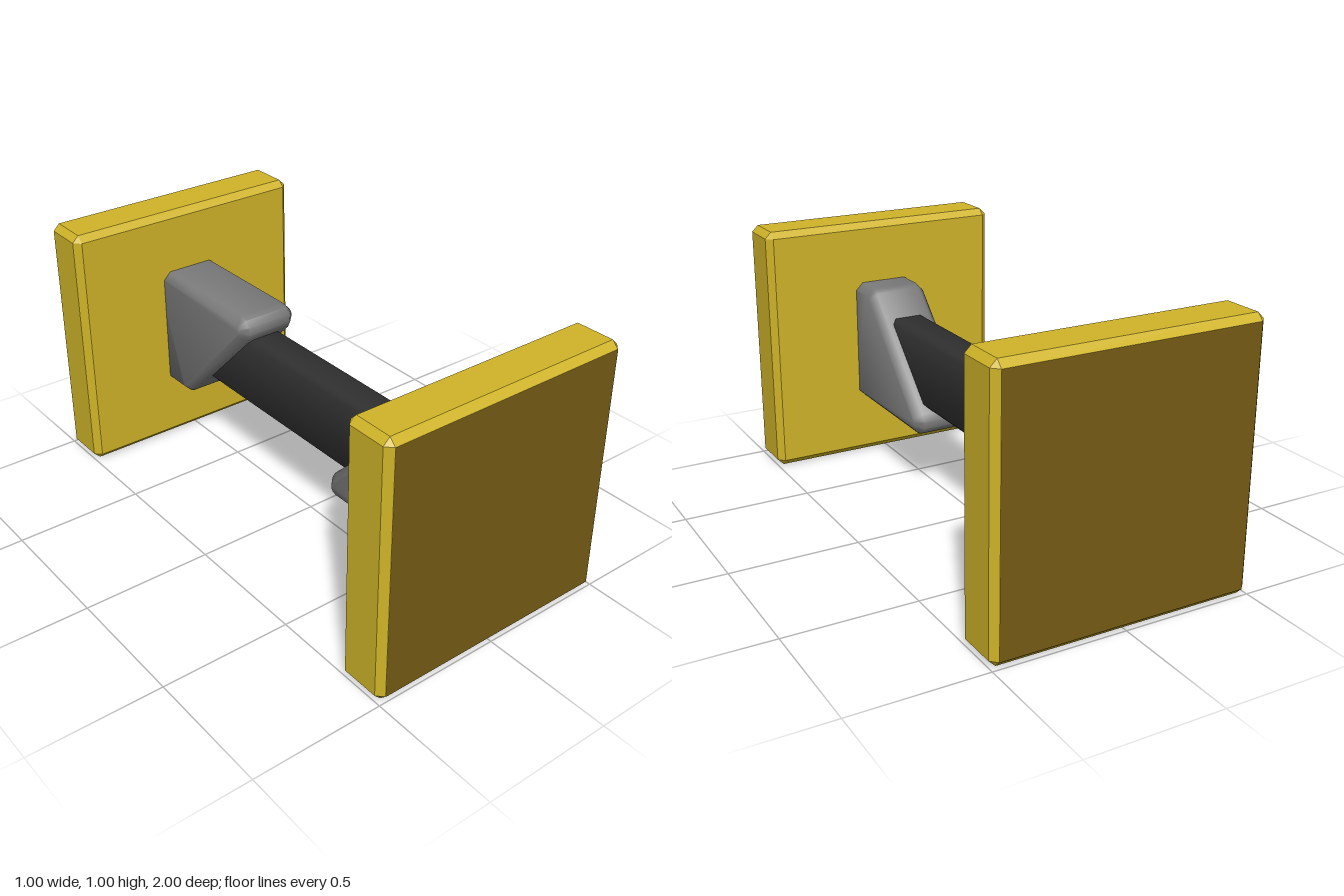
import * as THREE from 'three';
import { toCreasedNormals } from 'three/addons/utils/BufferGeometryUtils.js';
import { ConvexGeometry } from 'three/addons/geometries/ConvexGeometry.js';

const yellow = new THREE.MeshStandardMaterial({ color: 0xd0b428, flatShading: true });
const brown = new THREE.MeshStandardMaterial({ color: 0x765c14 });
const grey = new THREE.MeshStandardMaterial({ color: 0x7a7a7a });
const dark = new THREE.MeshStandardMaterial({ color: 0x303030 });

const CREASE = 0.9; // smooths over 45 degree chamfers, keeps square corners sharp

// Box with every edge cut by a flat chamfer, corners ending in triangles
function chamferedBox(w, h, d, c) {
  const points = [];
  for (const x of [-1, 1]) for (const y of [-1, 1]) for (const z of [-1, 1]) {
    for (let axis = 0; axis < 3; axis++) {
      const p = [w / 2, h / 2, d / 2].map((half, i) => (i === axis ? half : half - c));
      points.push(new THREE.Vector3(p[0] * x, p[1] * y, p[2] * z));
    }
  }
  return new ConvexGeometry(points);
}

// Slanted bracket: profile in z (across) and y (up), measured from the bar's axis
function bracketGeometry() {
  const width = 0.25, bevel = 0.03, r = 0.053;
  const shape = new THREE.Shape();
  shape.absarc(0.697, 0.25 - r, r, Math.PI / 2, Math.PI * 0.75, false);
  shape.absarc(0.303, -0.25 + r, r, Math.PI * 0.75, Math.PI * 1.5, false);
  shape.lineTo(0.88, -0.25);
  shape.lineTo(0.88, 0.25);
  shape.closePath();
  const geo = new THREE.ExtrudeGeometry(shape, {
    depth: width - 2 * bevel, curveSegments: 2,
    bevelSize: bevel, bevelThickness: bevel, bevelOffset: -bevel, bevelSegments: 1,
  });
  geo.translate(0, 0, -(width / 2 - bevel));
  geo.rotateY(-Math.PI / 2);
  return toCreasedNormals(geo, CREASE);
}

// Connecting bar: rectangle with chamfered long edges, run along z
function barGeometry() {
  const w = 0.074, h = 0.147, c = 0.018, length = 1.3;
  const outline = [
    [w, c - h], [w, h - c], [w - c, h], [c - w, h],
    [-w, h - c], [-w, c - h], [c - w, -h], [w - c, -h],
  ].map(([x, y]) => new THREE.Vector2(x, y));
  const geo = new THREE.ExtrudeGeometry(new THREE.Shape(outline), { depth: length, bevelEnabled: false });
  geo.translate(0, 0, -length / 2);
  return toCreasedNormals(geo, CREASE);
}

export function createModel() {
  const model = new THREE.Group();
  model.name = 'connector';
  const plateGeo = chamferedBox(1, 1, 0.2, 0.025);
  const faceGeo = new THREE.PlaneGeometry(0.95, 0.95);
  const bracketGeo = bracketGeometry();

  // The back end is the front end turned half a turn about the x axis
  for (const [name, turn] of [['front', 0], ['back', Math.PI]]) {
    const end = new THREE.Group();
    end.name = name + 'End';
    end.position.y = 0.5;
    end.rotation.x = turn;

    const plate = new THREE.Mesh(plateGeo, yellow);
    plate.name = name + 'Plate';
    plate.position.z = 0.9;

    // Darker outer face of the plate
    const face = new THREE.Mesh(faceGeo, brown);
    face.name = name + 'PlateFace';
    face.position.z = 1.001;

    const bracket = new THREE.Mesh(bracketGeo, grey);
    bracket.name = name + 'Bracket';

    end.add(plate, face, bracket);
    model.add(end);
  }

  const bar = new THREE.Mesh(barGeometry(), dark);
  bar.name = 'bar';
  bar.position.y = 0.5;
  model.add(bar);
  return model;
}
